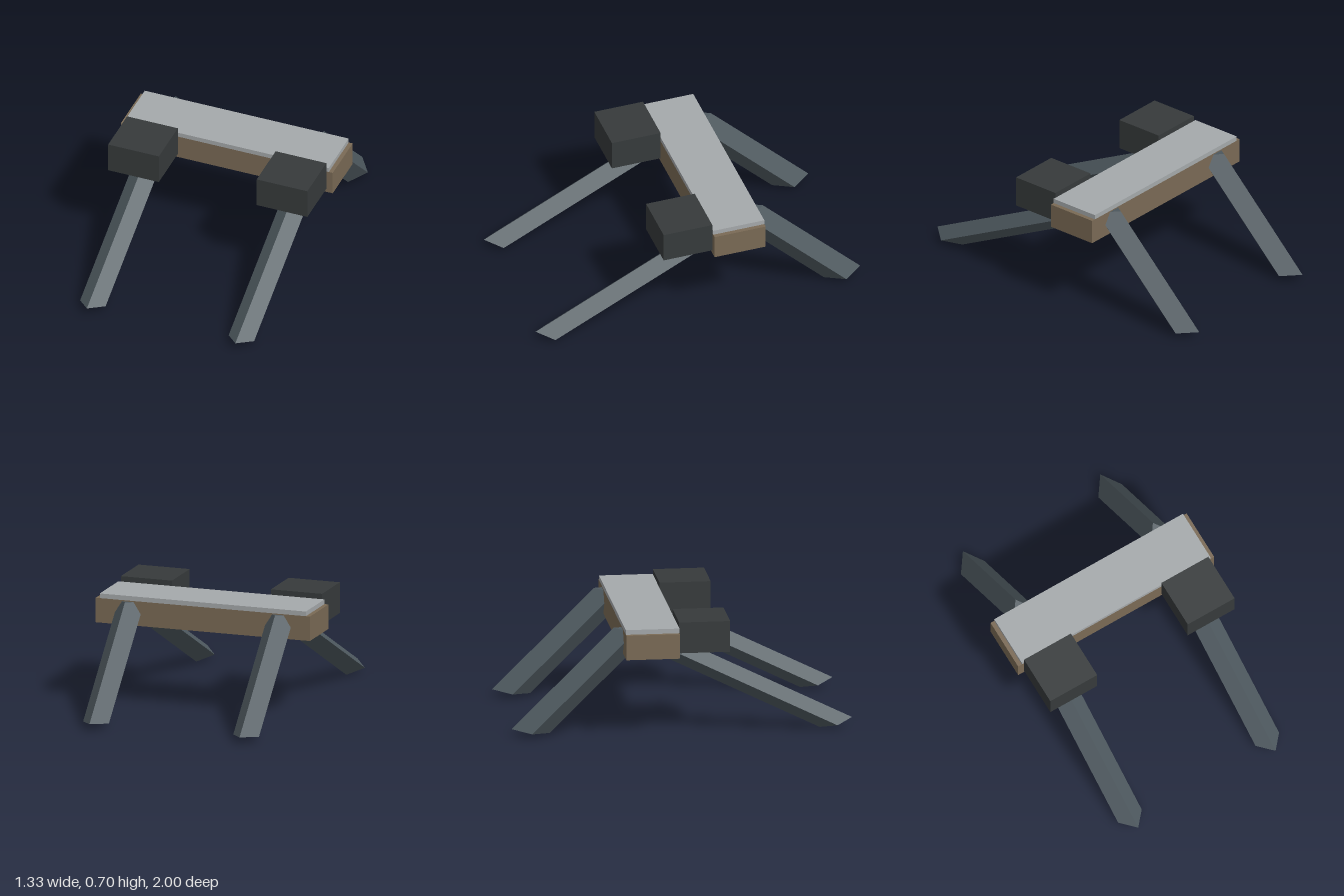
import * as THREE from 'three';

const paint = (color) => new THREE.MeshStandardMaterial({ color, flatShading: true });

// Box given by its limits on each axis
function block(name, [x0, x1], [y0, y1], [z0, z1], material) {
  const mesh = new THREE.Mesh(new THREE.BoxGeometry(x1 - x0, y1 - y0, z1 - z0), material);
  mesh.position.set((x0 + x1) / 2, (y0 + y1) / 2, (z0 + z1) / 2);
  mesh.name = name;
  return mesh;
}

// Sheared bar with a diamond section: top and foot are centres of its end faces,
// across is the half diagonal of the diamond in the y-z plane
function leg(name, x, top, foot, across, material) {
  const halfWidth = 0.08;
  const a = new THREE.Vector3(halfWidth, across.y, across.z);
  const b = new THREE.Vector3(-halfWidth, across.y, across.z);
  const along = foot.clone().sub(top);
  const centre = foot.clone().add(top).multiplyScalar(0.5);
  const shear = new THREE.Matrix4().makeBasis(a, b, along);
  const mesh = new THREE.Mesh(new THREE.BoxGeometry(1, 1, 1).applyMatrix4(shear), material);
  mesh.position.set(x, centre.y, centre.z);
  mesh.name = name;
  return mesh;
}

export function createModel() {
  const group = new THREE.Group();
  const v = (y, z) => new THREE.Vector3(0, y, z);
  const brown = paint(0x7a6a55);
  const pale = paint(0xa5a9ab);
  const dark = paint(0x363a3b);
  const slate = paint(0x4f5a60);

  // Crossbeam with a thin plate on top
  group.add(block('beam', [-0.665, 0.665], [0.49, 0.637], [-0.35, -0.035], brown));
  group.add(block('topPlate', [-0.64, 0.64], [0.637, 0.665], [-0.35, -0.035], pale));

  // Front block and two splayed legs on each side
  for (const [side, s] of [['left', 1], ['right', -1]]) {
    const x = s * 0.466;
    group.add(block(side + 'FrontBlock', [x - 0.159, x + 0.159], [0.512, 0.697], [-0.035, 0.265], dark));
    group.add(leg(side + 'FrontLeg', x, v(0.6, -0.25), v(0.028, 0.905), v(0.027, 0.095), slate));
    group.add(leg(side + 'BackLeg', x, v(0.622, -0.288), v(0.03, -0.888), v(-0.015, 0.112), slate));
  }

  // Rest the lowest foot on the ground
  const box = new THREE.Box3().setFromObject(group);
  for (const part of group.children) part.position.y -= box.min.y;
  return group;
}
